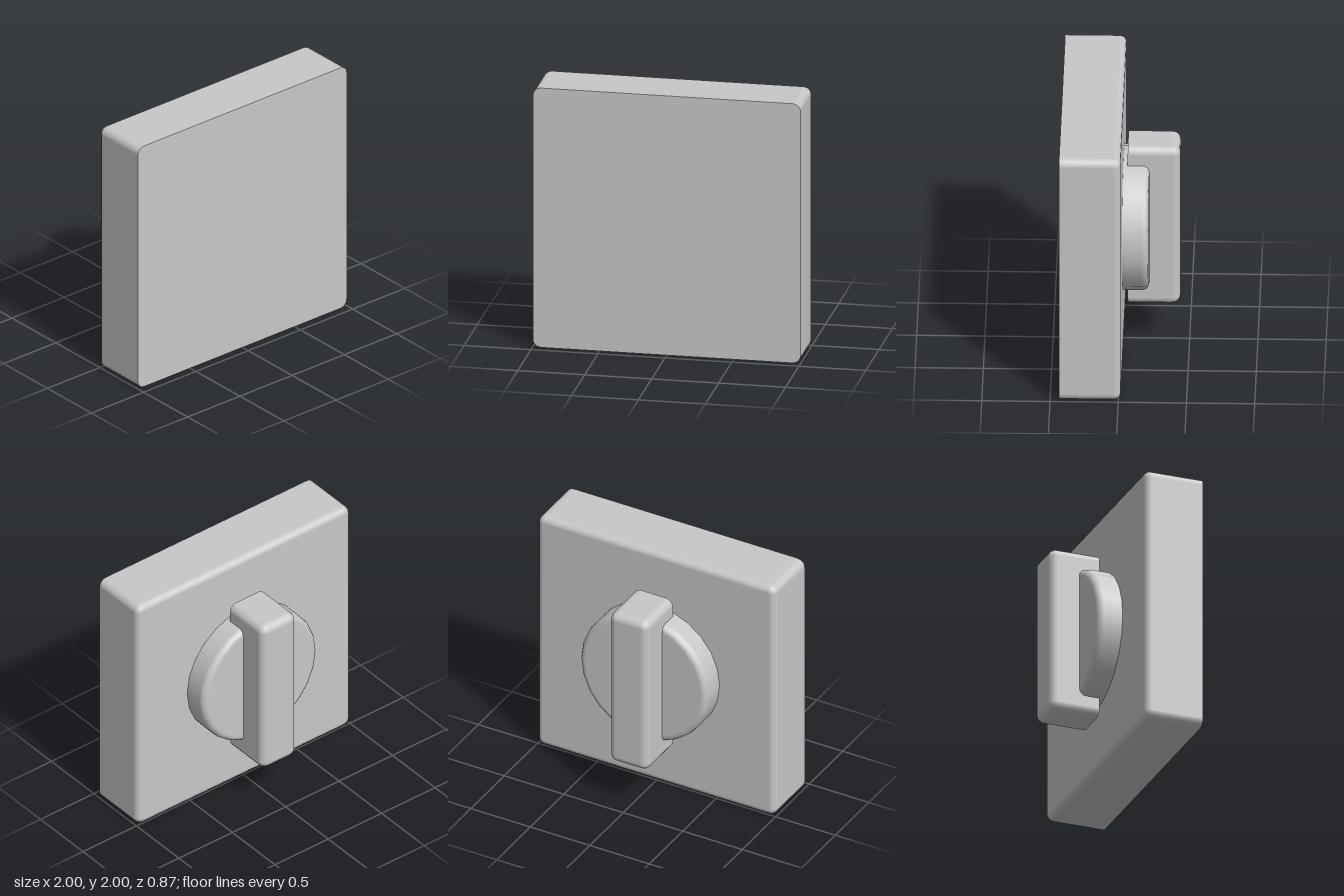
import * as THREE from 'three';

const CENTER_Y = 1;

// Outline of a rounded rectangle, counter-clockwise, each point with its outward normal
function roundedRectOutline(width, height, radius, steps) {
  const outline = [];
  const cx = width / 2 - radius, cy = height / 2 - radius;
  [[cx, cy], [-cx, cy], [-cx, -cy], [cx, -cy]].forEach(([x, y], corner) => {
    for (let i = 0; i <= steps; i++) {
      const a = (corner + i / steps) * Math.PI / 2;
      const nx = Math.cos(a), ny = Math.sin(a);
      outline.push({ x: x + radius * nx, y: y + radius * ny, nx, ny });
    }
  });
  return outline;
}

function circleOutline(radius, sides) {
  return Array.from({ length: sides }, (_, i) => {
    const a = i / sides * Math.PI * 2;
    const nx = Math.cos(a), ny = Math.sin(a);
    return { x: radius * nx, y: radius * ny, nx, ny };
  });
}

// Solid raised along +z: sharp flat base, smooth rounded rim at the far end
function roundedSolid(outline, depth, bevel, steps = 4) {
  const positions = [], normals = [], index = [];
  const n = outline.length;
  const add = (x, y, z, nx, ny, nz) => {
    positions.push(x, y, z);
    normals.push(nx, ny, nz);
    return positions.length / 3 - 1;
  };
  const ring = (z, angle, inset, capNormal) => {
    const start = positions.length / 3;
    const c = Math.cos(angle), s = Math.sin(angle);
    for (const p of outline) {
      const normal = capNormal ? [0, 0, capNormal] : [p.nx * c, p.ny * c, s];
      add(p.x - p.nx * inset, p.y - p.ny * inset, z, ...normal);
    }
    return start;
  };

  // Walls and rounded rim
  let lower = ring(0, 0, 0);
  for (let k = 0; k <= steps; k++) {
    const a = k / steps * Math.PI / 2;
    const upper = ring(depth - bevel * (1 - Math.sin(a)), a, bevel * (1 - Math.cos(a)));
    for (let i = 0; i < n; i++) {
      const j = (i + 1) % n;
      index.push(lower + i, lower + j, upper + j, lower + i, upper + j, upper + i);
    }
    lower = upper;
  }

  // Flat base and flat far face
  for (const [z, inset, facing] of [[0, 0, -1], [depth, bevel, 1]]) {
    const center = add(0, 0, z, 0, 0, facing);
    const start = ring(z, 0, inset, facing);
    for (let i = 0; i < n; i++) {
      const a = start + i, b = start + (i + 1) % n;
      if (facing > 0) index.push(center, a, b);
      else index.push(center, b, a);
    }
  }

  const geometry = new THREE.BufferGeometry();
  geometry.setAttribute('position', new THREE.Float32BufferAttribute(positions, 3));
  geometry.setAttribute('normal', new THREE.Float32BufferAttribute(normals, 3));
  geometry.setIndex(index);
  return geometry.rotateY(Math.PI);
}

export function createModel() {
  const group = new THREE.Group();
  const grey = new THREE.MeshStandardMaterial({ color: 0xc8c8c8 });
  grey.name = 'grey';

  const addPart = (name, geometry, y, z) => {
    const mesh = new THREE.Mesh(geometry, grey);
    mesh.name = name;
    mesh.position.set(0, y, z);
    group.add(mesh);
  };

  // Square plate, rounded towards the back
  addPart('plate', roundedSolid(roundedRectOutline(2, 2, 0.06, 4), 0.45, 0.05), CENTER_Y, 0.434);

  // Round knob base
  addPart('knobDisc', roundedSolid(circleOutline(0.537, 24), 0.192, 0.05), CENTER_Y + 0.008, -0.016);

  // Upright grip across the disc, floating slightly clear of the plate
  addPart('knobGrip', roundedSolid(roundedRectOutline(0.326, 1.3, 0.06, 4), 0.384, 0.06), CENTER_Y + 0.01, -0.05);

  return group;
}
